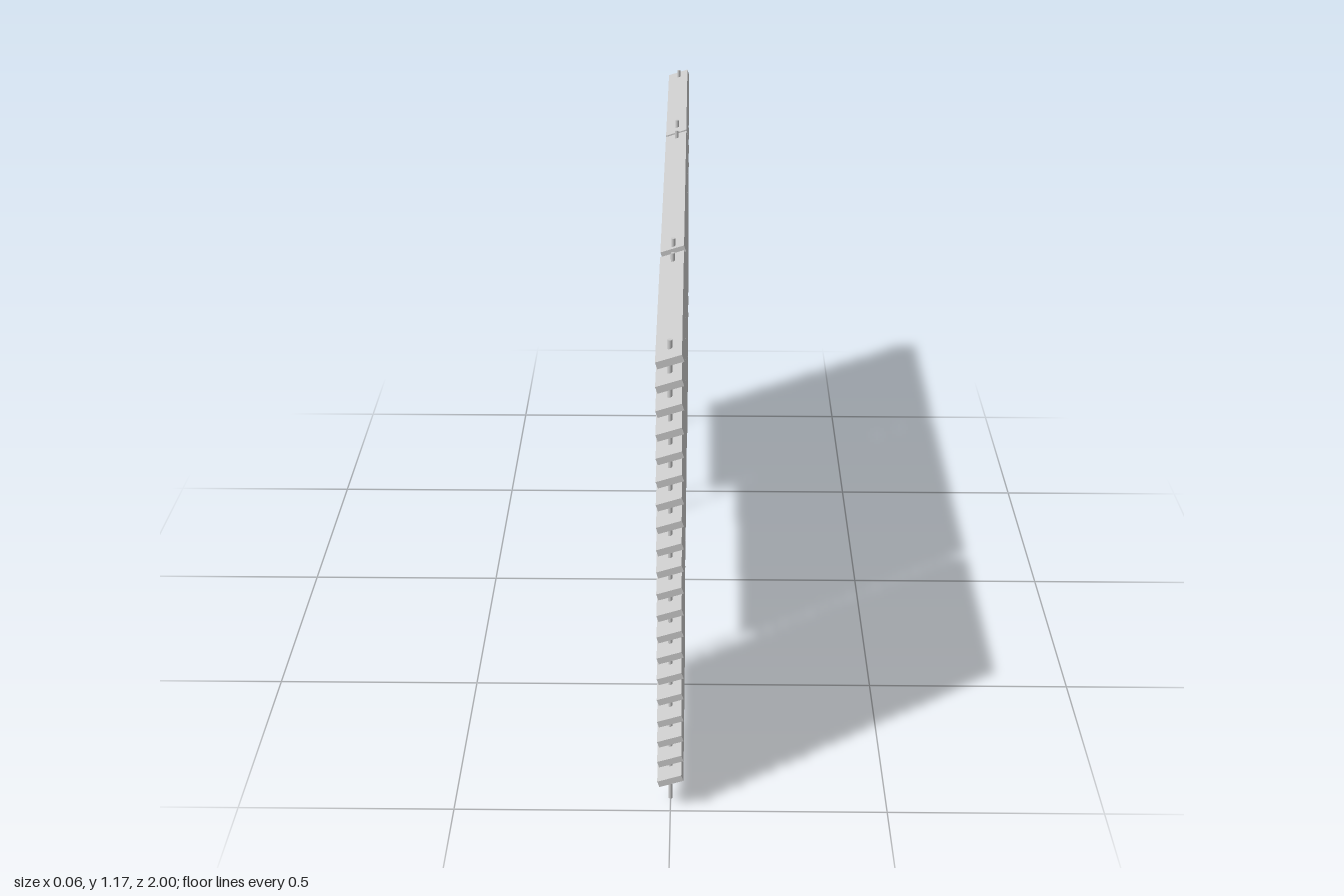
import * as THREE from 'three';

const TOP = 1.147, PITCH = 0.0557, TILT = 0.315;
const SLAT_WIDTH = 0.058, SLAT_THICK = 0.016;
const ROD_RADIUS = 0.0048, ROD_HEIGHT = 1.175;

export function createModel() {
  const model = new THREE.Group();
  model.name = 'louvreScreen';
  const material = new THREE.MeshStandardMaterial({ color: 0xcccccc });
  const rodGeometry = new THREE.CylinderGeometry(ROD_RADIUS, ROD_RADIUS, ROD_HEIGHT, 12);

  // One panel: tilted slats threaded on two upright rods
  function addPanel(name, zMin, zMax, slatCount, rods, lowDrop = 0) {
    const panel = new THREE.Group();
    panel.name = name;
    const slatGeometry = new THREE.BoxGeometry(SLAT_WIDTH, SLAT_THICK, zMax - zMin);
    for (let i = 0; i < slatCount; i++) {
      const slat = new THREE.Mesh(slatGeometry, material);
      slat.name = 'slat';
      // the slats below the middle panel can sit slightly lower
      slat.position.set(0, TOP - i * PITCH - (i > 15 ? lowDrop : 0), (zMin + zMax) / 2);
      slat.rotation.z = TILT;
      panel.add(slat);
    }
    for (const z of rods) {
      const rod = new THREE.Mesh(rodGeometry, material);
      rod.name = 'rod';
      rod.position.set(0, ROD_HEIGHT / 2, z);
      panel.add(rod);
    }
    model.add(panel);
  }

  addPanel('frontPanel', 0.435, 1, 20, [0.951, 0.48], 0.004);
  addPanel('middlePanel', -0.425, 0.406, 16, [0.39, -0.392]);
  addPanel('backPanel', -1, -0.436, 18, [-0.482, -0.953]);
  return model;
}
